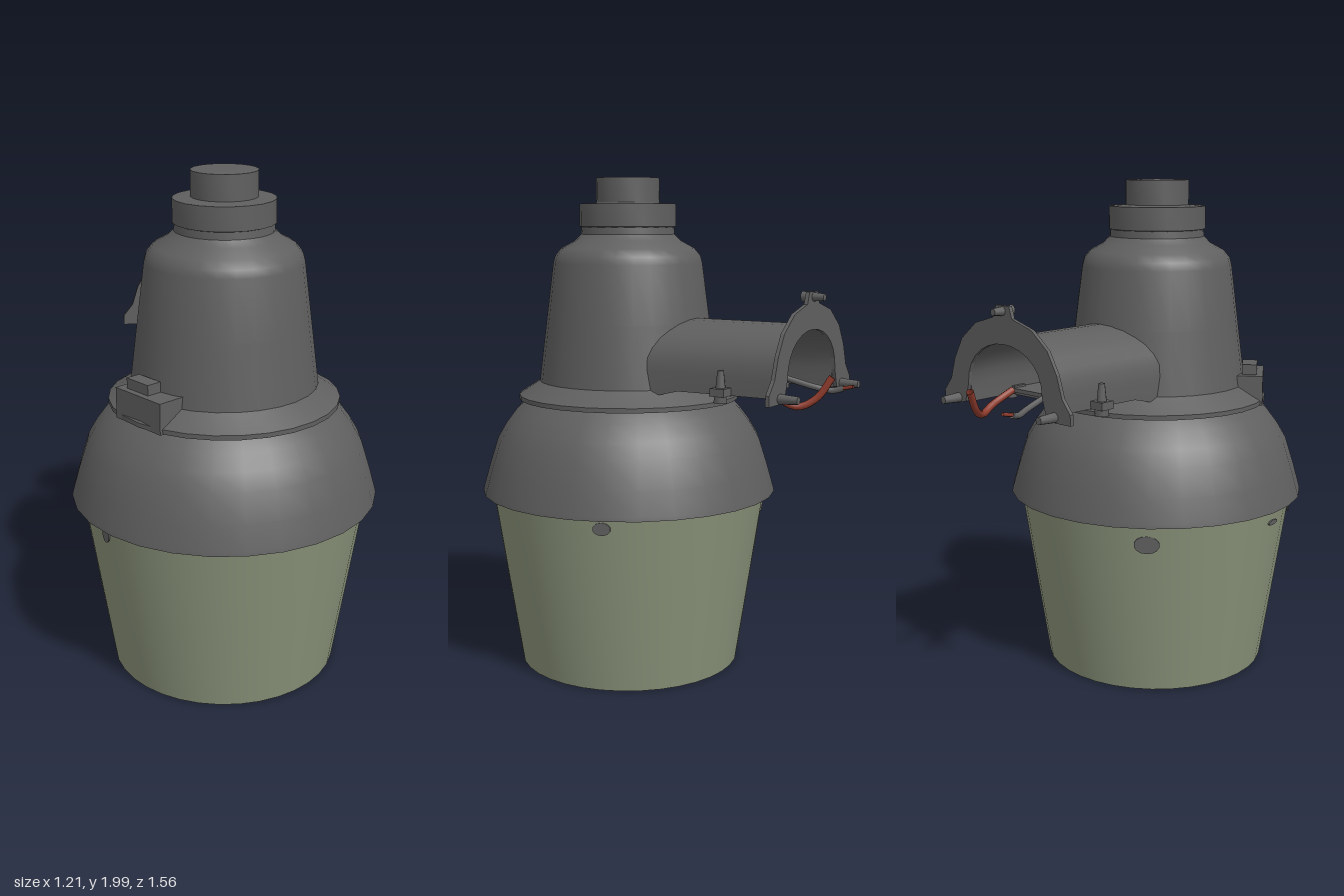
import * as THREE from 'three';
import { toCreasedNormals } from 'three/addons/utils/BufferGeometryUtils.js';

const AXIS_Z = 0.17;

export function createModel() {
  const root = new THREE.Group();
  root.name = 'barnLight';
  const make = (name, color) => {
    const m = new THREE.MeshStandardMaterial({ color, side: THREE.DoubleSide });
    m.name = name;
    return m;
  };
  const metal = make('darkMetal', 0x5f5f5f);
  const glass = make('greenGlass', 0x8a937a);
  const red = make('redWire', 0x8f3b2c);

  const add = (name, geo, mat, x = 0, y = 0, z = 0, parent = root) => {
    const mesh = new THREE.Mesh(geo, mat);
    mesh.name = name;
    mesh.position.set(x, y, z);
    parent.add(mesh);
    return mesh;
  };
  const lathe = (name, pts, mat, segs = 28) => add(name,
    toCreasedNormals(new THREE.LatheGeometry(pts.map(p => new THREE.Vector2(...p)), segs), 0.6),
    mat, 0, 0, AXIS_Z);

  // Open tapered shade
  lathe('shade', [[0.455, 0.01], [0.51, 0.37], [0.565, 0.735]], glass, 36);

  // Hood, flange, housing and cap, all round the same axis
  lathe('hood', [[0.56, 0.735], [0.605, 0.73], [0.602, 0.745], [0.575, 0.84], [0.54, 0.95],
    [0.505, 1.01], [0.46, 1.07], [0.41, 1.115]], metal);
  lathe('flange', [[0.36, 1.11], [0.45, 1.112], [0.45, 1.13], [0.41, 1.155], [0.365, 1.185]], metal);
  lathe('housing', [[0.365, 1.18], [0.333, 1.43], [0.303, 1.66], [0.295, 1.69], [0.27, 1.72],
    [0.215, 1.75], [0.19, 1.775], [0.187, 1.81]], metal);
  lathe('capCollar', [[0.18, 1.80], [0.195, 1.805], [0.195, 1.895], [0.12, 1.9]], metal, 20);
  lathe('photocell', [[0.127, 1.89], [0.127, 1.997], [0, 2.0]], metal, 20);

  // Latch box on the shoulder, set along the flange
  const latch = new THREE.Group();
  latch.name = 'latch';
  latch.position.set(-0.31, 0, 0.40);
  latch.rotation.y = -0.95;
  root.add(latch);
  add('latchBox', new THREE.BoxGeometry(0.25, 0.12, 0.11), metal, 0, 1.17, 0, latch);
  add('latchKnob', new THREE.BoxGeometry(0.12, 0.04, 0.06), metal, -0.03, 1.25, 0, latch);

  // Arched arm, open below, widening towards the housing
  const W = 0.22, BASE = 1.19, SPRING = 1.26, TOP = 1.45;
  const arch = (w, top, base, n = 14) => {
    const pts = [[w, base]];
    for (let i = 0; i <= n; i++) {
      const a = Math.PI * i / n;
      pts.push([w * Math.cos(a), SPRING + (top - SPRING) * Math.sin(a) ** 0.9]);
    }
    pts.push([-w, base]);
    return pts;
  };
  const toShape = pts => new THREE.Shape(pts.map(p => new THREE.Vector2(...p)));
  const armShape = toShape([...arch(W, TOP, BASE), ...arch(W - 0.018, TOP - 0.018, BASE).reverse()]);
  const armGeo = new THREE.ExtrudeGeometry(armShape, { depth: 0.65, steps: 6, bevelEnabled: false });
  const p = armGeo.attributes.position;
  for (let i = 0; i < p.count; i++) {
    const t = p.getZ(i) / 0.65;
    p.setX(i, p.getX(i) * (1 + 0.14 * t * t));
    p.setY(i, p.getY(i) - (p.getY(i) < 1.2 ? 0.06 * Math.max(0, t - 0.7) / 0.3 : 0));
  }
  add('arm', toCreasedNormals(armGeo, 0.6), metal, 0, 0, -0.65);
  add('armFloor', new THREE.BoxGeometry(0.41, 0.015, 0.34), metal, 0, 1.205, -0.28);

  // Horseshoe mounting plate with splayed feet and a top lug
  const half = [[0.22, 1.19], [0.26, 1.18], [0.34, 1.18], [0.34, 1.22], [0.30, 1.27],
    [0.275, 1.35], [0.23, 1.43], [0.15, 1.495], [0.05, 1.525], [0.035, 1.57]];
  const plateShape = toShape([...half, ...half.map(([x, y]) => [-x, y]).reverse(),
    ...arch(W - 0.02, TOP - 0.02, BASE).reverse().slice(1, -1)]);
  add('mountPlate', new THREE.ExtrudeGeometry(plateShape, { depth: 0.015, bevelEnabled: false }),
    metal, 0, 0, -0.665);

  // Plate bolts
  const bolt = (name, x, y, z0, z1, r) => {
    const b = add(name, new THREE.CylinderGeometry(r, r * 0.65, z0 - z1, 10), metal, x, y, (z0 + z1) / 2);
    b.rotation.x = Math.PI / 2;
  };
  bolt('topBolt', 0, 1.55, -0.62, -0.71, 0.02);

  for (const s of [-1, 1]) {
    bolt('footBolt', s * 0.26, 1.2, -0.625, -0.74, 0.022);
    // Clamp lugs with upright bolts beside the arm
    add('clampLug', new THREE.BoxGeometry(0.09, 0.03, 0.06), metal, s * 0.235, 1.205, -0.415);
    add('clampBolt', new THREE.CylinderGeometry(0.012, 0.024, 0.12, 10), metal, s * 0.25, 1.225, -0.415);
    add('clampNut', new THREE.CylinderGeometry(0.028, 0.028, 0.03, 6), metal, s * 0.25, 1.18, -0.415);
  }
  add('clampStrap', new THREE.BoxGeometry(0.44, 0.018, 0.045), metal, 0, 1.195, -0.415);

  // Loose wires hanging out of the arm
  const wire = (name, pts, r, mat) => add(name, new THREE.TubeGeometry(
    new THREE.CatmullRomCurve3(pts.map(q => new THREE.Vector3(...q))), 20, r, 8), mat);
  wire('redWire', [[0.14, 1.22, -0.5], [0.14, 1.18, -0.60], [0.12, 1.155, -0.67],
    [0.085, 1.19, -0.73], [0.06, 1.265, -0.775]], 0.014, red);
  wire('greyWire', [[-0.07, 1.23, -0.52], [-0.09, 1.2, -0.64], [-0.11, 1.19, -0.70],
    [-0.12, 1.2, -0.74]], 0.012, metal);
  wire('greyWireTip', [[-0.12, 1.2, -0.735], [-0.121, 1.205, -0.76], [-0.12, 1.21, -0.78]], 0.007, red);

  // Small dark marks on the shade; angle measured from +z towards +x
  const mark = (angle, y, w, h) => {
    const r = 0.455 + 0.11 * (y - 0.01) / 0.725 + 0.002;
    const m = add('shadeMark', new THREE.CylinderGeometry(0.5, 0.5, 0.006, 14), metal,
      r * Math.sin(angle), y, AXIS_Z + r * Math.cos(angle));
    m.rotation.set(Math.PI / 2 + 0.15, 0, -angle, 'YXZ');
    m.rotation.set(Math.PI / 2, angle, 0, 'YXZ');
    m.scale.set(w, 1, h);
  };
  mark(-2.48, 0.65, 0.10, 0.07);
  mark(-1.42, 0.665, 0.07, 0.02);
  mark(-1.05, 0.69, 0.045, 0.07);
  mark(1.99, 0.69, 0.07, 0.05);

  return root;
}
